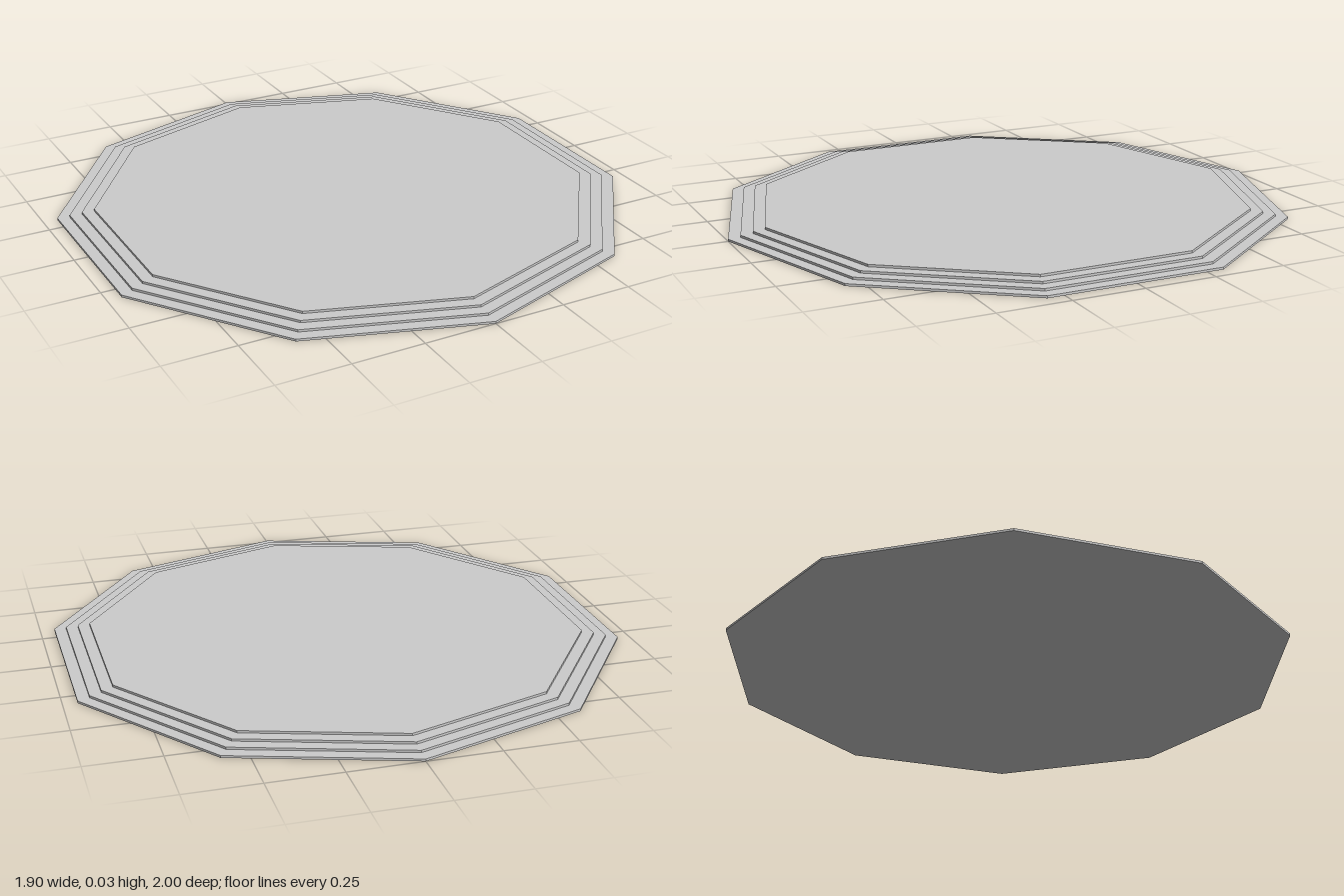
import * as THREE from 'three';

// A low ten-sided stepped platform
export function createModel() {
  const model = new THREE.Group();
  model.name = 'steppedPlatform';
  const material = new THREE.MeshStandardMaterial({ color: 0xcccccc, flatShading: true });

  const tiers = 4;
  const tierHeight = 0.008;
  const stepDepth = 0.0425;

  // Each tier is a thin decagon, a little smaller than the one below
  for (let i = 0; i < tiers; i++) {
    const radius = 1 - i * stepDepth;
    const tier = new THREE.Mesh(new THREE.CylinderGeometry(radius, radius, tierHeight, 10), material);
    tier.position.y = (i + 0.5) * tierHeight;
    tier.name = `tier${i + 1}`;
    model.add(tier);
  }
  return model;
}
